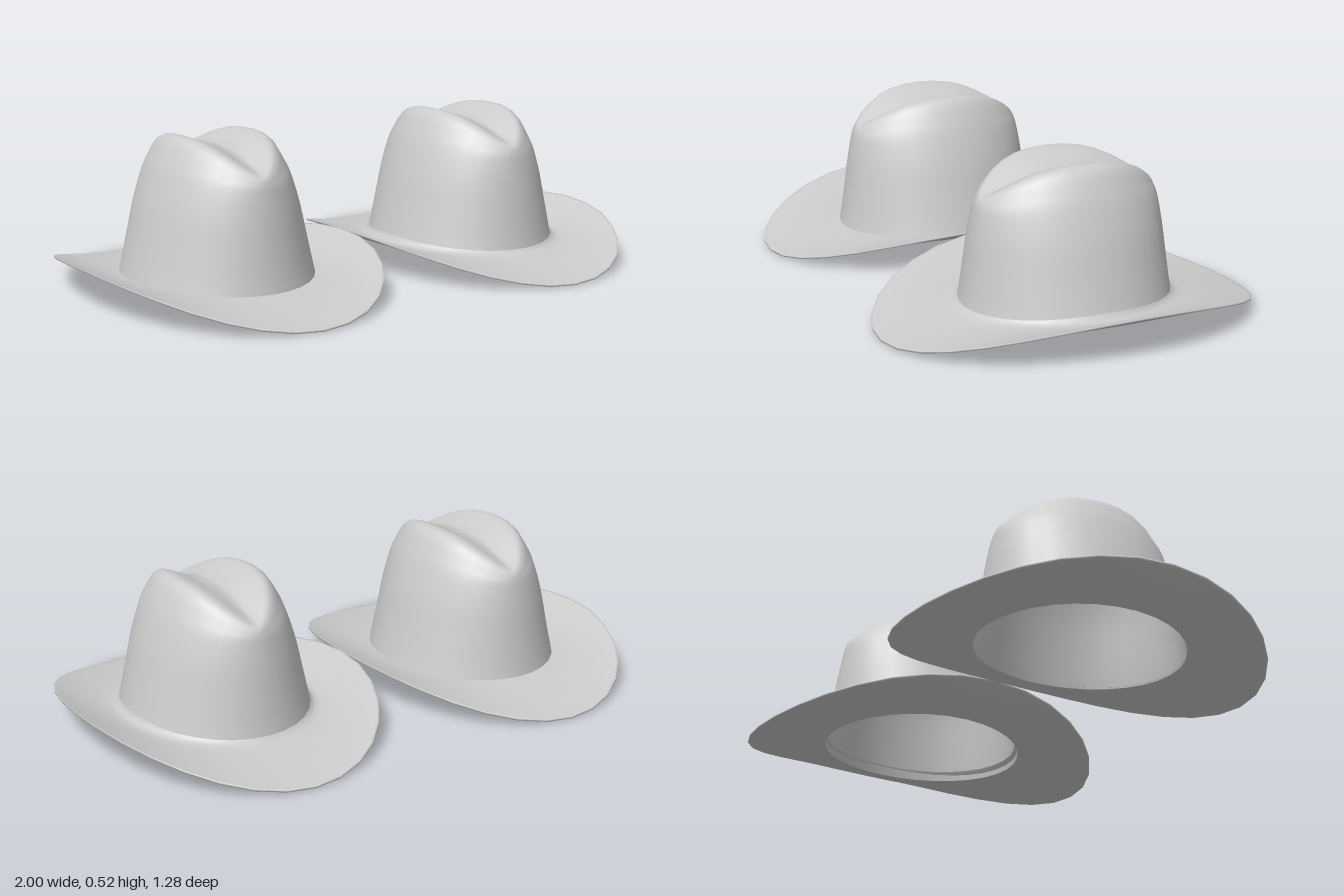
import * as THREE from 'three';

const SEG = 32;

// Joins closed rings into a smooth surface; ringPoint(k, angle) returns [x, y, z].
function loft(ringCount, ringPoint) {
  const pos = [], idx = [];
  for (let k = 0; k < ringCount; k++) {
    for (let j = 0; j < SEG; j++) pos.push(...ringPoint(k, (j / SEG) * Math.PI * 2));
  }
  for (let k = 0; k < ringCount - 1; k++) {
    for (let j = 0; j < SEG; j++) {
      const a = k * SEG + j, b = k * SEG + ((j + 1) % SEG);
      idx.push(a, a + SEG, b, b, a + SEG, b + SEG);
    }
  }
  const geo = new THREE.BufferGeometry();
  geo.setAttribute('position', new THREE.Float32BufferAttribute(pos, 3));
  geo.setIndex(idx);
  geo.computeVertexNormals();
  return geo;
}

const signedPow = (v, p) => Math.sign(v) * Math.abs(v) ** p;
const spline = (pts) => new THREE.SplineCurve(pts.map(([r, y]) => new THREE.Vector2(r, y)));

// Crown: side profile and front profile, blended around the hat,
// from the base over the ridge and down into the crease.
const sideProfile = spline([
  [0.31, 0.06], [0.297, 0.11], [0.275, 0.2], [0.25, 0.3], [0.217, 0.4], [0.192, 0.455],
  [0.163, 0.503], [0.13, 0.52], [0.085, 0.508], [0.04, 0.489], [0, 0.483],
]);
const frontProfile = spline([
  [0.355, 0.05], [0.347, 0.1], [0.336, 0.19], [0.326, 0.28], [0.314, 0.37], [0.309, 0.395],
  [0.302, 0.41], [0.285, 0.42], [0.22, 0.44], [0.11, 0.474], [0, 0.483],
]);

function crownGeometry() {
  const rings = 41;
  return loft(rings, (k, a) => {
    const t = k / (rings - 1);
    const s = sideProfile.getPoint(t), f = frontProfile.getPoint(t);
    // the outline narrows to a lens toward the ridge
    const pinch = 1 + 0.35 * THREE.MathUtils.smoothstep(t, 0.3, 0.7);
    const w = Math.abs(Math.sin(a)) ** 2.6;
    return [
      s.x * signedPow(Math.cos(a), pinch),
      THREE.MathUtils.lerp(s.y, f.y, w),
      f.x * Math.sin(a),
    ];
  });
}

// Brim: a thin saddle, raised at the sides and lowered at front and back.
function brimGeometry(fillet) {
  const THICK = 0.006;
  const steps = [0, 0.12, 0.3, 0.5, 0.7, 0.88, 0.97, 1];
  const rings = [
    ...steps.map((t) => [t, 0, 0]),
    ...[...steps].reverse().map((t) => [t, THICK, 0]),
  ];
  // soft roll where the brim meets the crown
  if (fillet) rings.splice(-2, 2, [0.14, THICK, 0], [0.06, 0.01, 0], [0, 0.018, 0], [-0.04, 0.034, 0]);
  return loft(rings.length, (k, a) => {
    const [t, lift] = rings[k];
    const c = Math.cos(a), s = Math.sin(a);
    const u = Math.max(t, 0);
    const inner = 0.048 + 0.012 * c * c;
    const outer = 0.13 * c * c;
    const bend = u ** (1.15 + 0.35 * c * c);
    return [
      (0.308 + 0.192 * t) * c,
      THREE.MathUtils.lerp(inner, outer, bend) + lift,
      (0.353 + 0.285 * t) * s,
    ];
  });
}

export function createModel() {
  const felt = new THREE.MeshStandardMaterial({ color: 0xcccccc, side: THREE.DoubleSide });
  felt.name = 'greyFelt';

  const model = new THREE.Group();
  model.name = 'hatPair';

  const crown = crownGeometry();
  // right hat has a crisp join, left hat a rolled one
  for (const [name, x, fillet] of [['rightHat', -0.5, false], ['leftHat', 0.5, true]]) {
    const hat = new THREE.Group();
    hat.name = name;
    hat.position.x = x;
    const crownMesh = new THREE.Mesh(crown, felt);
    crownMesh.name = 'crown';
    const brimMesh = new THREE.Mesh(brimGeometry(fillet), felt);
    brimMesh.name = 'brim';
    hat.add(crownMesh, brimMesh);
    model.add(hat);
  }
  return model;
}
